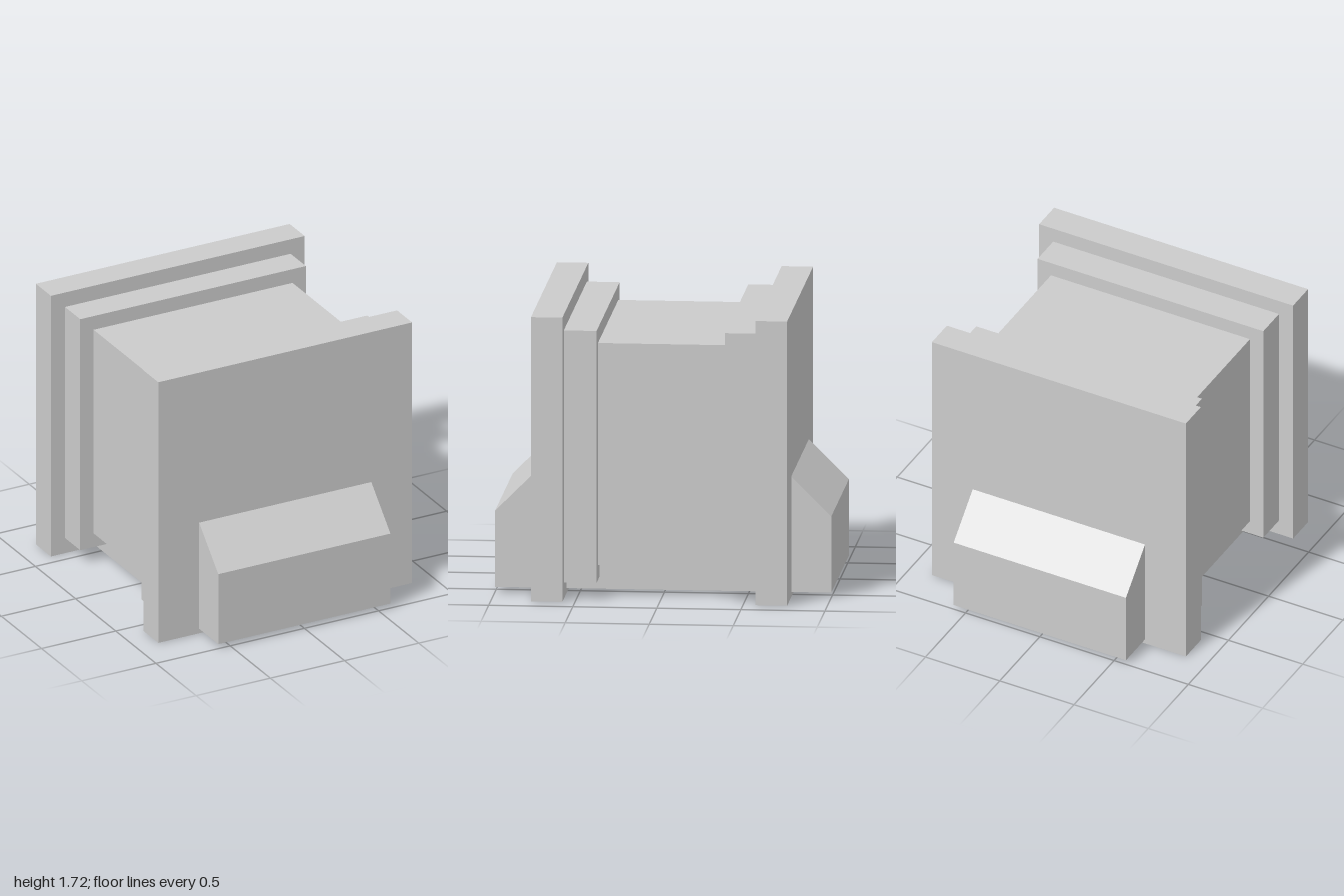
import * as THREE from 'three';

const material = new THREE.MeshStandardMaterial({ color: 0xcccccc, flatShading: true });

function add(group, name, geometry) {
  const mesh = new THREE.Mesh(geometry, material);
  mesh.name = name;
  group.add(mesh);
}

// Box given by half width, vertical range and depth range
function slab(halfWidth, y0, y1, z0, z1) {
  return new THREE.BoxGeometry(halfWidth * 2, y1 - y0, z1 - z0)
    .translate(0, (y0 + y1) / 2, (z0 + z1) / 2);
}

export function createModel() {
  const group = new THREE.Group();

  // Central block
  add(group, 'core', slab(0.67, 0.19, 1.53, -0.39, 0.38));

  // Stepped flanges at both ends
  add(group, 'frontInnerFlange', slab(0.76, 0.1, 1.62, 0.38, 0.575));
  add(group, 'backInnerFlange', slab(0.76, 0.1, 1.62, -0.575, -0.385));
  add(group, 'frontOuterFlange', slab(0.855, 0, 1.715, 0.575, 0.762));
  add(group, 'backOuterFlange', slab(0.855, 0, 1.715, -0.762, -0.575));

  // Base running the full depth, with sloped ends outside the flanges
  const profile = new THREE.Shape([
    [-1, 0.03], [1, 0.03], [1, 0.49], [0.76, 0.73], [-0.76, 0.73], [-1, 0.49],
  ].map(([z, y]) => new THREE.Vector2(z, y)));
  const base = new THREE.ExtrudeGeometry(profile, { depth: 1.16, bevelEnabled: false });
  base.translate(0, 0, -0.58).rotateY(-Math.PI / 2);
  add(group, 'slopedBase', base);

  return group;
}
